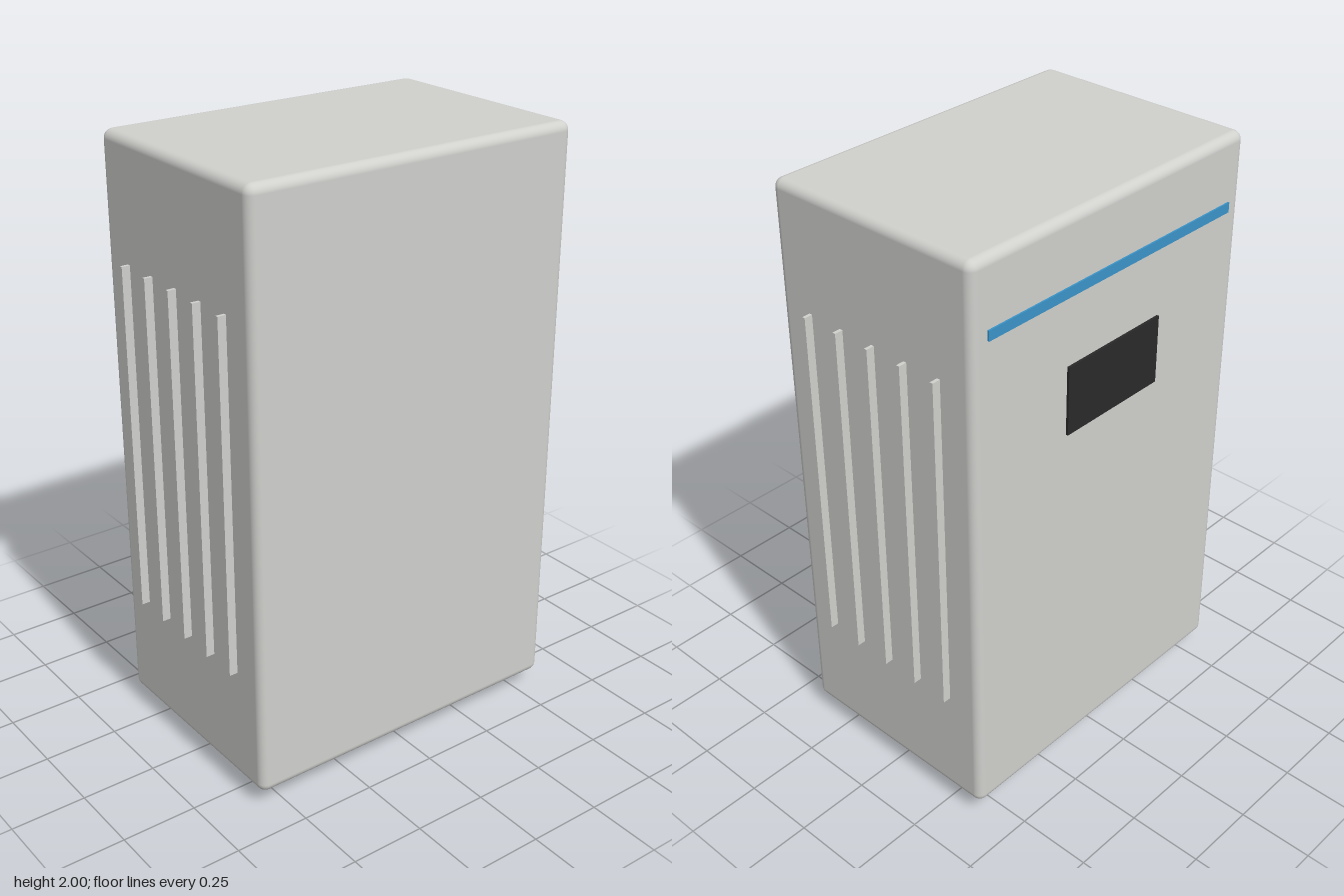
import * as THREE from 'three';
import { RoundedBoxGeometry } from 'three/addons/geometries/RoundedBoxGeometry.js';

function material(name, color) {
  const m = new THREE.MeshStandardMaterial({ color });
  m.name = name;
  return m;
}

export function createModel() {
  const casingGrey = material('casing grey', 0xd0d0cd);
  const plugBlack = material('plug black', 0x2a2a2a);
  const stripeBlue = material('stripe blue', 0x3a94c8);
  const model = new THREE.Group();
  model.name = 'inverterCabinet';

  const add = (name, geometry, mat, x, y, z) => {
    const mesh = new THREE.Mesh(geometry, mat);
    mesh.name = name;
    mesh.position.set(x, y, z);
    model.add(mesh);
  };

  const bottom = 0.056, midZ = 0.003, backZ = -0.385;

  // Casing with softly rounded edges
  add('casing', new RoundedBoxGeometry(1.17, 2 - bottom, 0.776, 4, 0.03),
    casingGrey, 0, (2 + bottom) / 2, midZ);

  // Five cooling fins on each side
  const fin = new THREE.BoxGeometry(0.038, 1.165, 0.011);
  for (const side of [-1, 1]) {
    for (let i = -2; i <= 2; i++) {
      add(side > 0 ? 'leftFin' : 'rightFin', fin, casingGrey, side * 0.594, 1.028, midZ + i * 0.13);
    }
  }

  // Display and accent stripe on the back panel
  add('display', new THREE.BoxGeometry(0.405, 0.23, 0.009), plugBlack, 0, 1.415, backZ - 0.0035);
  add('accentStripe', new THREE.BoxGeometry(1.05, 0.033, 0.007), stripeBlue, 0, 1.77, backZ - 0.002);

  // Connectors hanging below the casing, sunk slightly into it
  const connector = (name, mat, x, radius, low) => {
    const top = bottom + 0.01;
    add(name, new THREE.CylinderGeometry(radius, radius, top - low, 20), mat, x, (top + low) / 2, midZ);
  };
  for (let i = 0; i < 6; i++) connector('cablePlug', plugBlack, -0.45 + i * 0.088, 0.018, 0);
  connector('signalPort', casingGrey, 0.132, 0.017, 0.018);
  connector('signalPort', casingGrey, 0.243, 0.017, 0.018);
  connector('cableGland', casingGrey, 0.357, 0.024, 0.01);
  connector('cableGland', casingGrey, 0.414, 0.024, 0.01);
  connector('groundStud', casingGrey, 0.5, 0.012, 0.03);

  return model;
}
